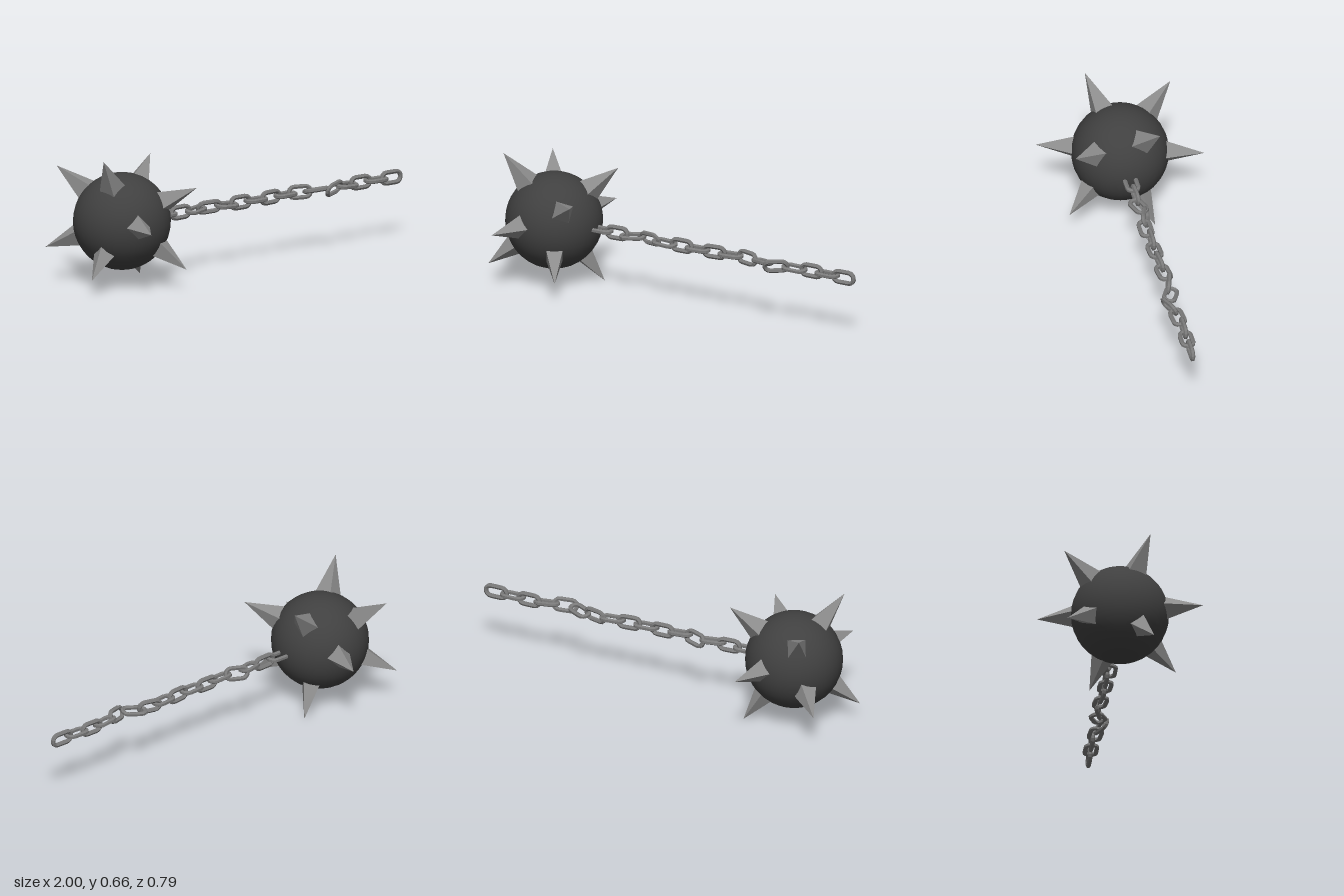
import * as THREE from 'three';

const CENTER = new THREE.Vector3(-0.71, 0.33, 0);

// Stadium-shaped loop used as the centre line of a chain link
class LinkCurve extends THREE.Curve {
  constructor(straight, radius) {
    super();
    this.h = straight / 2;
    this.r = radius;
  }
  getPoint(t, target = new THREE.Vector3()) {
    const { h, r } = this;
    const arc = Math.PI * r;
    let s = (t % 1) * (4 * h + 2 * arc);
    if (s < 2 * h) return target.set(-h + s, -r, 0);
    s -= 2 * h;
    if (s < arc) return target.set(h + r * Math.sin(s / r), -r * Math.cos(s / r), 0);
    s -= arc;
    if (s < 2 * h) return target.set(h - s, r, 0);
    s -= 2 * h;
    return target.set(-h - r * Math.sin(s / r), r * Math.cos(s / r), 0);
  }
}

export function createModel() {
  const model = new THREE.Group();
  const ballMaterial = new THREE.MeshStandardMaterial({ color: 0x404040 });
  const spikeMaterial = new THREE.MeshStandardMaterial({ color: 0x8c8c8c, flatShading: true });
  const chainMaterial = new THREE.MeshStandardMaterial({ color: 0x7a7a7a, flatShading: true });

  // Ball
  const ball = new THREE.Mesh(new THREE.SphereGeometry(0.239, 32, 20), ballMaterial);
  ball.name = 'ball';
  ball.position.set(CENTER.x, 0.315, 0);
  model.add(ball);

  // Four-sided spikes: tip position and roll in degrees
  const spikes = new THREE.Group();
  spikes.name = 'spikes';
  const tips = [
    [-0.92, 0.66, 0.13, 25],
    [-0.50, 0.00, -0.13, 25],
    [-0.43, 0.59, -0.14, 0],
    [-1.00, 0.08, 0.14, 0],
    [-0.46, 0.495, 0.275, 25],
    [-0.965, 0.17, -0.28, 25],
    [-0.89, 0.565, -0.29, 45],
    [-0.535, 0.10, 0.29, 45],
    [-0.59, 0.33, -0.395, 0],
    [-0.83, 0.33, 0.395, 0],
  ];
  const baseDistance = 0.19;
  tips.forEach(([x, y, z, roll]) => {
    const tip = new THREE.Vector3(x, y, z);
    const length = tip.distanceTo(CENTER) - baseDistance;
    const geometry = new THREE.ConeGeometry(0.072, length, 4);
    geometry.rotateX(Math.PI / 2); // point along +z
    geometry.translate(0, 0, baseDistance + length / 2);
    geometry.rotateZ(THREE.MathUtils.degToRad(roll));
    const spike = new THREE.Mesh(geometry, spikeMaterial);
    spike.name = 'spike';
    spike.position.copy(CENTER);
    spike.lookAt(tip);
    spikes.add(spike);
  });
  model.add(spikes);

  // Chain: links alternate between lying flat and standing upright
  const chain = new THREE.Group();
  chain.name = 'chain';
  const linkGeometry = new THREE.TubeGeometry(new LinkCurve(0.06, 0.027), 24, 0.0115, 6, true);
  const sway = [0, 0, 0.005, -0.01, 0.01, 0, 0.005, 0, 0, -0.005, 0.005, 0.03, 0.01, 0, 0.005, 0.005];
  const yaw = [0, 0.05, 0.3, -0.3, 0, 0, 0.05, 0.1, 0.1, -0.25, -0.4, 0.35, 0.1, 0, 0, 0];
  const pitch = [0, 0, 0.05, 0.08, -0.05, 0, 0, 0, 0, 0, 0.1, 0.1, -0.05, 0, 0, 0];
  const twist = [0, 0, 0.1, 0.35, 0.15, 0, 0, 0.1, 0, -0.15, -0.2, 0.35, 0.15, 0, 0, 0];
  sway.forEach((z, i) => {
    const link = new THREE.Mesh(linkGeometry, chainMaterial);
    link.name = 'chainLink';
    link.position.set(0.932 - (15 - i) * 0.0918, 0.31, z);
    link.rotation.set((i % 2 ? 0 : Math.PI / 2) + twist[i], yaw[i], pitch[i], 'YZX');
    chain.add(link);
  });
  model.add(chain);

  return model;
}
